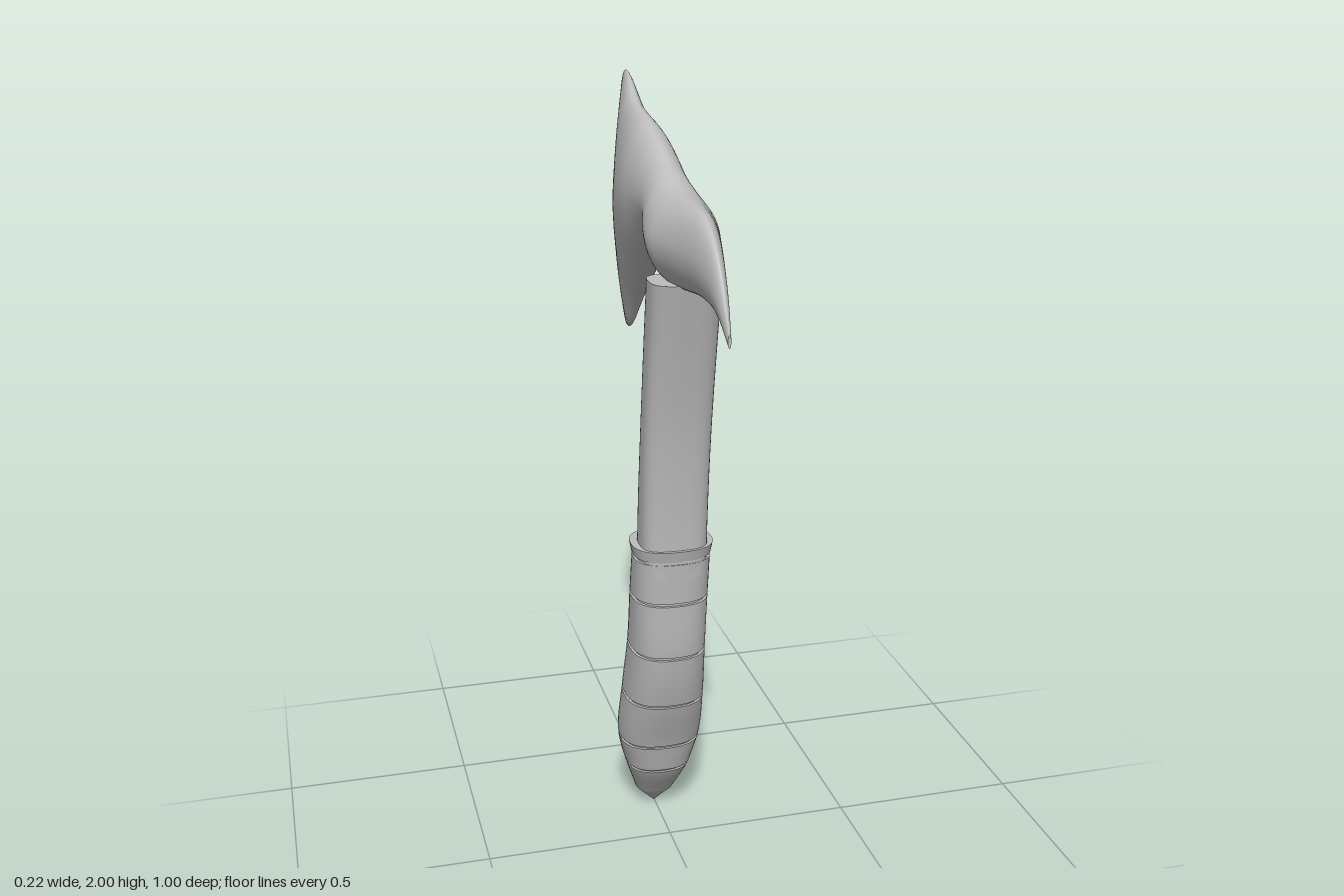
import * as THREE from 'three';

const steel = new THREE.MeshStandardMaterial({ color: 0xbdbdbd });
steel.name = 'grey';

// Smooth curve through rows of [position, low side, high side, half width]
function profile(rows) {
  const interp = new THREE.CubicInterpolant(rows.map(r => r[0]), rows.flatMap(r => r.slice(1)), 3);
  return t => Array.from(interp.evaluate(t));
}

// Closed loft of superellipse rings; upright lofts run along y, others along z
function loft(name, at, t0, t1, { steps = 12, sides = 40, power = 0.75, upright = true, inset = 0 } = {}) {
  const pos = [], idx = [];
  const bend = (v, p) => Math.sign(v) * Math.pow(Math.abs(v), p);
  const addRing = t => {
    const [lo, hi, w] = at(t);
    const mid = (lo + hi) / 2, h = Math.max((hi - lo) / 2 - inset, 0.001);
    for (let j = 0; j < sides; j++) {
      const a = (j / sides) * Math.PI * 2;
      const x = Math.max(w - inset, 0.001) * bend(Math.cos(a), power);
      const v = mid + h * bend(Math.sin(a), power);
      pos.push(x, upright ? t : v, upright ? v : t);
    }
  };
  const tri = (a, b, c) => upright ? idx.push(a, c, b) : idx.push(a, b, c);
  for (let i = 0; i <= steps; i++) addRing(t0 + (t1 - t0) * i / steps);
  for (let i = 0; i < steps; i++) {
    for (let j = 0; j < sides; j++) {
      const k = (j + 1) % sides, a = i * sides, b = a + sides;
      tri(a + j, a + k, b + k);
      tri(a + j, b + k, b + j);
    }
  }
  // flat end caps with their own corners
  for (const [t, end] of [[t0, false], [t1, true]]) {
    const s = pos.length / 3;
    addRing(t);
    for (let j = 1; j < sides - 1; j++) {
      if (end) tri(s, s + j, s + j + 1);
      else tri(s, s + j + 1, s + j);
    }
  }
  const geo = new THREE.BufferGeometry();
  geo.setAttribute('position', new THREE.Float32BufferAttribute(pos, 3));
  geo.setIndex(idx);
  geo.computeVertexNormals();
  const mesh = new THREE.Mesh(geo, steel);
  mesh.name = name;
  return mesh;
}

export function createModel() {
  const model = new THREE.Group();
  model.name = 'axe';

  // Head: flared blade at the back, curved spike at the front
  const head = profile([
    [-0.5, 1.36, 1.955, 0.003], [-0.47, 1.33, 1.99, 0.018], [-0.44, 1.325, 2.0, 0.032],
    [-0.41, 1.337, 1.99, 0.044], [-0.38, 1.37, 1.967, 0.053], [-0.34, 1.415, 1.938, 0.063],
    [-0.3, 1.455, 1.925, 0.07], [-0.2, 1.545, 1.902, 0.077], [-0.1, 1.613, 1.866, 0.068],
    [-0.05, 1.629, 1.843, 0.064], [0, 1.622, 1.82, 0.068], [0.06, 1.59, 1.796, 0.082],
    [0.12, 1.568, 1.783, 0.087], [0.2, 1.572, 1.778, 0.068], [0.3, 1.583, 1.765, 0.042],
    [0.35, 1.582, 1.742, 0.031], [0.4, 1.576, 1.703, 0.021], [0.45, 1.556, 1.638, 0.013],
    [0.5, 1.518, 1.548, 0.004],
  ]);
  model.add(loft('axeHead', head, -0.5, 0.5, { steps: 80, sides: 48, power: 1.1, upright: false }));

  // Shaft: curved bar with rounded corners
  const shaft = profile([
    [0.8, -0.06, 0.085, 0.086], [1.0, -0.036, 0.095, 0.086], [1.2, -0.002, 0.117, 0.086],
    [1.4, 0.03, 0.156, 0.086], [1.585, 0.06, 0.2, 0.086],
  ]);
  model.add(loft('shaft', shaft, 0.8, 1.585, { steps: 24, power: 0.65 }));

  // Collar: flared rim above the grip
  const collar = profile([[0.85, -0.075, 0.09, 0.1], [0.88, -0.083, 0.098, 0.106]]);
  model.add(loft('collar', collar, 0.85, 0.88, { steps: 2, power: 0.8 }));

  // Grip: wrapped bands over a slightly thinner core
  const grip = profile([
    [0.05, -0.238, -0.137, 0.052], [0.16, -0.246, -0.06, 0.088], [0.19, -0.25, -0.05, 0.096],
    [0.255, -0.231, -0.03, 0.109], [0.41, -0.197, 0.03, 0.106], [0.57, -0.154, 0.068, 0.099],
    [0.73, -0.111, 0.08, 0.099], [0.85, -0.073, 0.09, 0.099],
  ]);
  model.add(loft('gripCore', grip, 0.06, 0.85, { steps: 30, inset: 0.007, power: 0.8 }));
  const cuts = [0.05, 0.165, 0.255, 0.41, 0.57, 0.73, 0.85];
  for (let i = 0; i < cuts.length - 1; i++) {
    model.add(loft('gripBand' + (i + 1), grip, cuts[i], cuts[i + 1] - 0.009, { power: 0.8 }));
  }

  // Pommel: blunt point at the foot
  const pommel = profile([[0, -0.19, -0.18, 0.004], [0.05, -0.238, -0.137, 0.052]]);
  model.add(loft('pommel', pommel, 0, 0.05, { steps: 2, power: 0.8 }));

  return model;
}
